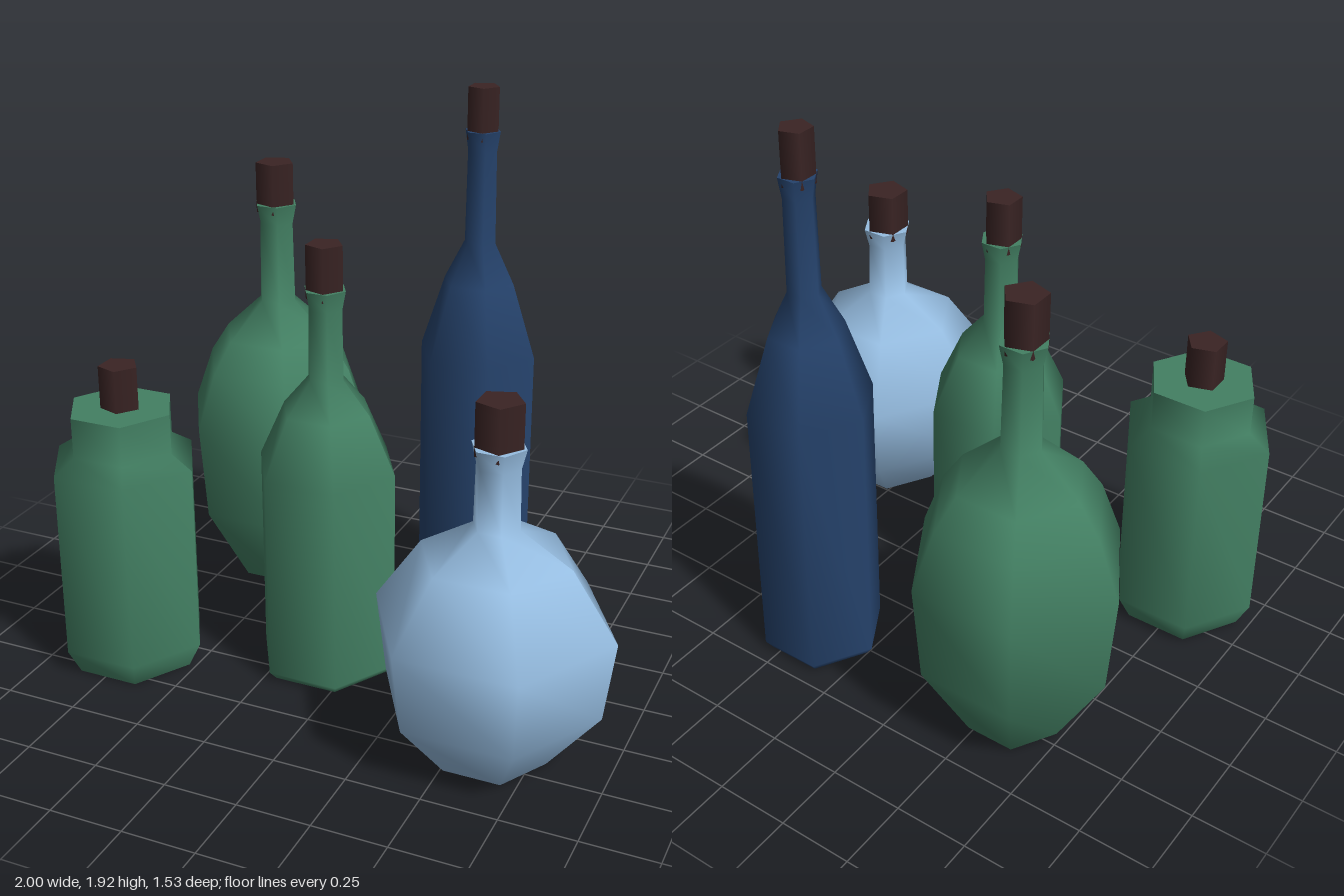
import * as THREE from 'three';
import { mergeGeometries } from 'three/addons/utils/BufferGeometryUtils.js';

const flat = (color, name) => {
  const m = new THREE.MeshStandardMaterial({ color });
  m.name = name;
  return m;
};

// Six-sided glass body turned from a profile of [radius, height], with flat ends
function glassBody(profile) {
  const side = new THREE.LatheGeometry(
    profile.map(([r, y]) => new THREE.Vector2(r, y)), 6, Math.PI / 2);
  side.computeVertexNormals(); // soft facets with one seam on the +x side
  const [baseR, baseY] = profile[0];
  const [topR, topY] = profile[profile.length - 1];
  const base = new THREE.CircleGeometry(baseR, 6).rotateX(Math.PI / 2).translate(0, baseY, 0);
  const top = new THREE.CircleGeometry(topR, 6).rotateX(-Math.PI / 2).translate(0, topY, 0);
  return mergeGeometries([side, base, top]);
}

// One stoppered bottle: glass body plus a five-sided cork
function bottle({ name, x, z, glass, profile, corkRadius, corkTop }, corkMaterial) {
  const group = new THREE.Group();
  group.name = name;
  group.position.set(x, 0, z);

  const body = new THREE.Mesh(glassBody(profile), glass);
  body.name = name + 'Glass';

  const mouth = profile[profile.length - 1][1];
  const corkBase = mouth - 0.03;
  const height = corkTop - corkBase;
  const cork = new THREE.Mesh(
    new THREE.CylinderGeometry(corkRadius, corkRadius, height, 5, 1, false, Math.PI / 2),
    corkMaterial);
  cork.name = name + 'Cork';
  cork.position.y = corkBase + height / 2;

  group.add(body, cork);
  return group;
}

export function createModel() {
  const green = flat(0x438063, 'green glass');
  const navy = flat(0x25426b, 'navy glass');
  const paleBlue = flat(0x96bde1, 'pale blue glass');
  const corkBrown = flat(0x3a2424, 'dark cork');

  const bottles = [
    {
      name: 'wideGreenBottle', x: -0.565, z: -0.455, glass: green,
      profile: [[0.165, 0], [0.33, 0.3], [0.357, 0.65], [0.283, 0.85], [0.21, 0.96],
        [0.07, 1.09], [0.065, 1.38], [0.08, 1.45]],
      corkRadius: 0.07, corkTop: 1.6,
    },
    {
      name: 'slimGreenBottle', x: -0.098, z: 0.125, glass: green,
      profile: [[0.22, 0], [0.247, 0.03], [0.247, 0.75], [0.155, 0.95], [0.063, 1.06],
        [0.06, 1.3], [0.073, 1.365]],
      corkRadius: 0.063, corkTop: 1.515,
    },
    {
      name: 'tallNavyBottle', x: 0.193, z: -0.515, glass: navy,
      profile: [[0.19, 0], [0.212, 0.03], [0.212, 0.98], [0.127, 1.24], [0.056, 1.38],
        [0.052, 1.7], [0.063, 1.77]],
      corkRadius: 0.055, corkTop: 1.92,
    },
    {
      name: 'roundBlueFlask', x: 0.605, z: 0.42, glass: paleBlue,
      profile: [[0.19, 0], [0.36, 0.21], [0.395, 0.48], [0.245, 0.7], [0.076, 0.8],
        [0.072, 1.0], [0.088, 1.065]],
      corkRadius: 0.077, corkTop: 1.21,
    },
    {
      name: 'greenJar', x: -0.74, z: 0.36, glass: green,
      profile: [[0.215, 0], [0.26, 0.09], [0.26, 0.75], [0.185, 0.8], [0.185, 0.94]],
      corkRadius: 0.068, corkTop: 1.088,
    },
  ];

  const model = new THREE.Group();
  model.name = 'bottleCollection';
  for (const b of bottles) model.add(bottle(b, corkBrown));
  return model;
}
